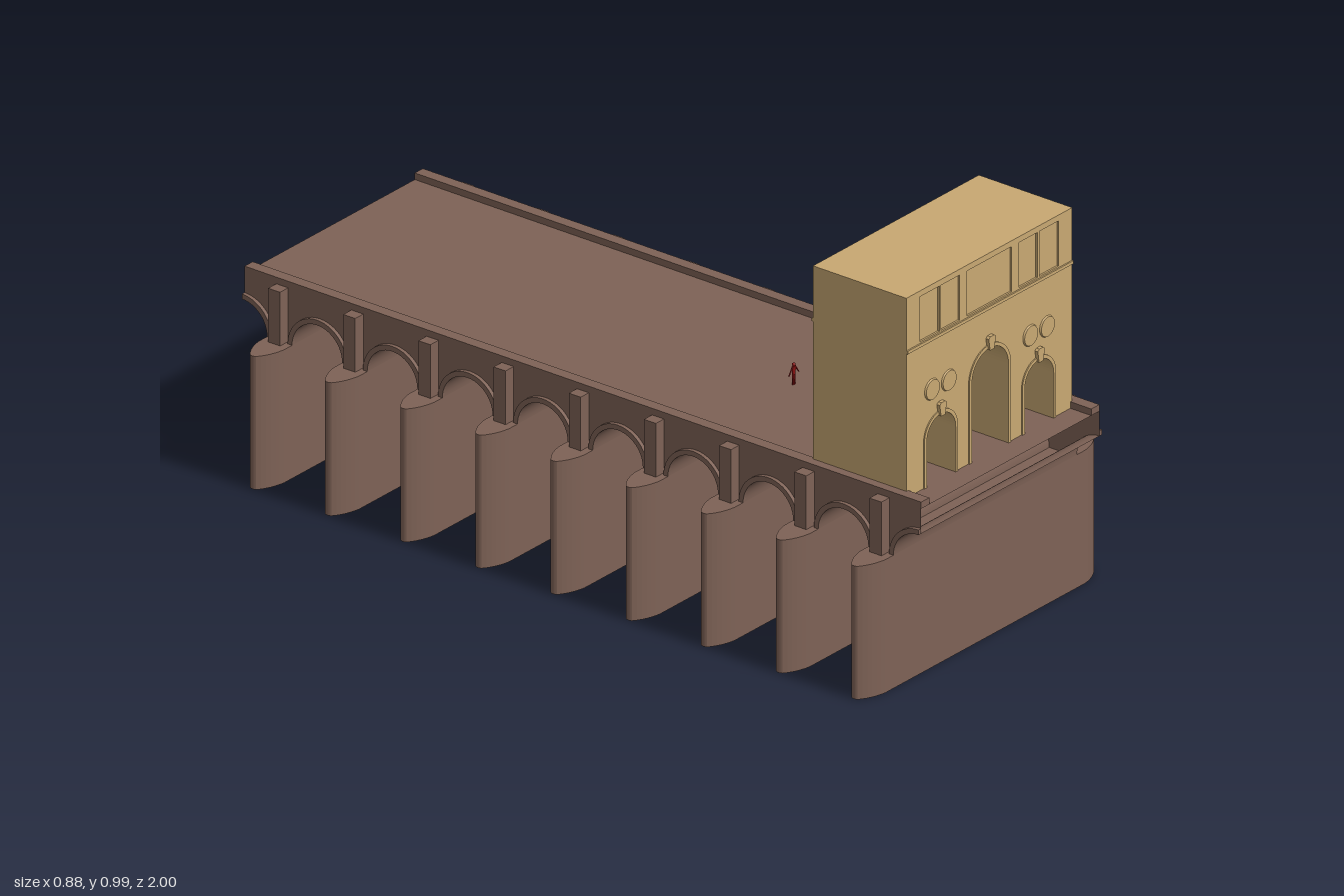
import * as THREE from 'three';

const stone = new THREE.MeshStandardMaterial({ color: 0x7e6256 });
const shell = new THREE.MeshStandardMaterial({ color: 0x7e6256, side: THREE.DoubleSide });
const sand = new THREE.MeshStandardMaterial({ color: 0xc8a872 });
const red = new THREE.MeshStandardMaterial({ color: 0x8a1212 });

function add(parent, name, geometry, material, x = 0, y = 0, z = 0) {
  const mesh = new THREE.Mesh(geometry, material);
  mesh.name = name;
  mesh.position.set(x, y, z);
  parent.add(mesh);
  return mesh;
}

const box = (w, h, d) => new THREE.BoxGeometry(w, h, d);
const extrude = (shape, depth, curveSegments = 12) =>
  new THREE.ExtrudeGeometry(shape, { depth, bevelEnabled: false, curveSegments });

// Bridge dimensions: nine piers, with half arches at both ends
const PITCH = 2 / 9, PIER = 0.037, SPRING = 0.342, DECK = 0.48, WALL = 0.33;
const R = PITCH / 2 - PIER;

// Band between two radii over an angle range
function bandShape(r, outer, a0, a1) {
  const s = new THREE.Shape();
  s.absarc(0, 0, outer, a0, a1, false);
  s.absarc(0, 0, r, a1, a0, true);
  s.closePath();
  return s;
}

// Pier plan with pointed, curved cutwaters
function pierGeometry() {
  const s = new THREE.Shape();
  s.moveTo(-0.37, -PIER);
  s.lineTo(0.37, -PIER);
  s.quadraticCurveTo(0.41, -0.032, 0.438, -0.009);
  s.quadraticCurveTo(0.443, 0, 0.438, 0.009);
  s.quadraticCurveTo(0.41, 0.032, 0.37, PIER);
  s.lineTo(-0.37, PIER);
  s.quadraticCurveTo(-0.41, 0.032, -0.438, 0.009);
  s.quadraticCurveTo(-0.443, 0, -0.438, -0.009);
  s.quadraticCurveTo(-0.41, -0.032, -0.37, -PIER);
  return extrude(s, SPRING, 6).rotateX(-Math.PI / 2);
}

// Side wall outline, cut by the row of arches
function spandrelShape() {
  const s = new THREE.Shape();
  s.moveTo(-1, DECK);
  s.lineTo(-1, SPRING + R);
  s.absarc(-1, SPRING, R, Math.PI / 2, 0, true);
  for (let i = 1; i < 9; i++) {
    s.lineTo(-1 + i * PITCH - R, SPRING);
    s.absarc(-1 + i * PITCH, SPRING, R, Math.PI, 0, true);
  }
  s.lineTo(1 - R, SPRING);
  s.absarc(1, SPRING, R, Math.PI, Math.PI / 2, true);
  s.lineTo(1, DECK);
  return s;
}

function buildBridge() {
  const bridge = new THREE.Group();
  bridge.name = 'bridge';
  add(bridge, 'deck', new THREE.PlaneGeometry(2 * WALL, 2).rotateX(-Math.PI / 2), shell, 0, DECK, 0);

  const pier = pierGeometry();
  const wall = new THREE.ShapeGeometry(spandrelShape(), 12).rotateY(-Math.PI / 2);
  for (const side of [-1, 1]) {
    add(bridge, 'spandrelWall', wall, shell, side * WALL);
    add(bridge, 'parapet', box(0.03, 0.017, 2), stone, side * 0.315, DECK + 0.0085, 0);
  }
  for (let i = 0; i < 9; i++) {
    const z = -1 + (i + 0.5) * PITCH;
    add(bridge, 'pier', pier, stone, 0, 0, z);
    for (const side of [-1, 1])
      add(bridge, 'pilaster', box(0.03, DECK - SPRING, 0.035), stone, side * 0.345, (DECK + SPRING) / 2, z);
  }
  for (let i = 0; i <= 9; i++) {
    const z = -1 + i * PITCH;
    const a0 = i === 9 ? Math.PI / 2 : 0;
    const a1 = i === 0 ? Math.PI / 2 : Math.PI;
    // Barrel vault, left open above
    const vault = new THREE.CylinderGeometry(R, R, 0.68, 12 * (a1 - a0) / Math.PI * 2, 1, true, a0, a1 - a0);
    vault.rotateX(-Math.PI / 2).rotateZ(Math.PI / 2).rotateY(Math.PI / 2);
    // Replace the swept angle by an explicit arch section along x
    const p = vault.attributes.position, n = p.count / 2;
    for (let k = 0; k < p.count; k++) {
      const a = a0 + (a1 - a0) * (k % n) / (n - 1);
      p.setXYZ(k, k < n ? -0.34 : 0.34, R * Math.sin(a), R * Math.cos(a));
    }
    vault.computeVertexNormals();
    add(bridge, 'vault', vault, shell, 0, SPRING, z);
    // Raised arch ring on each side
    const ring = extrude(bandShape(R, R + 0.013, a0, a1), 0.01).rotateY(-Math.PI / 2);
    for (const x of [-WALL, WALL + 0.01]) add(bridge, 'archRing', ring, stone, x, SPRING, z);
  }
  return bridge;
}

// Gate openings: centre x, half width, spring height
const OPENINGS = [[-0.1815, 0.0535, 0.597], [0, 0.068, 0.683], [0.1815, 0.0535, 0.597]];
const PANELS = [[-0.257, -0.185], [-0.178, -0.11], [-0.083, 0.083], [0.11, 0.178], [0.185, 0.257]];
const GATE_W = 0.307, GATE_TOP = 0.993, GATE_Z = 0.8, GATE_HALF = 0.138, RECESS = 0.005;

function gateShape(withPanels) {
  const s = new THREE.Shape();
  s.moveTo(-GATE_W, DECK);
  for (const [x, r, y] of OPENINGS) {
    s.lineTo(x - r, DECK);
    s.lineTo(x - r, y);
    s.absarc(x, y, r, Math.PI, 0, true);
    s.lineTo(x + r, DECK);
  }
  s.lineTo(GATE_W, DECK);
  s.lineTo(GATE_W, GATE_TOP);
  s.lineTo(-GATE_W, GATE_TOP);
  if (withPanels) for (const [a, b] of PANELS) {
    const h = new THREE.Path();
    h.moveTo(a, 0.862);
    h.lineTo(a, 0.978);
    h.lineTo(b, 0.978);
    h.lineTo(b, 0.862);
    s.holes.push(h);
  }
  return s;
}

// Frame running up both jambs and round the arch
function frameShape(r, y, t) {
  const s = new THREE.Shape();
  s.moveTo(r, DECK);
  s.lineTo(r + t, DECK);
  s.absarc(0, y, r + t, 0, Math.PI, false);
  s.lineTo(-r - t, DECK);
  s.lineTo(-r, DECK);
  s.absarc(0, y, r, Math.PI, 0, true);
  return s;
}

function buildFace() {
  const face = new THREE.Group();
  face.name = 'gateFace';
  add(face, 'panelledFacing', extrude(gateShape(true), RECESS), sand, 0, 0, -RECESS);
  add(face, 'cornice', box(2 * GATE_W, 0.008, 0.008), sand, 0, 0.854, 0);
  const key = new THREE.Shape([[-0.008, -0.006], [0.008, -0.006], [0.013, 0.024], [0.007, 0.029],
    [-0.007, 0.029], [-0.013, 0.024]].map(([x, y]) => new THREE.Vector2(x, y)));
  for (const [x, r, y] of OPENINGS) {
    add(face, 'archFrame', extrude(frameShape(r, y, 0.009), 0.003), sand, x, 0, 0);
    add(face, 'keystone', extrude(key, 0.009), sand, x, y + r + 0.003, 0);
  }
  const disc = new THREE.CylinderGeometry(0.025, 0.027, 0.004, 28).rotateX(Math.PI / 2);
  for (const x of [-0.213, -0.151, 0.151, 0.213]) add(face, 'medallion', disc, sand, x, 0.724, 0.002);
  return face;
}

function buildGate() {
  const gate = new THREE.Group();
  gate.name = 'triumphalGate';
  const depth = 2 * (GATE_HALF - RECESS);
  add(gate, 'gateBody', extrude(gateShape(false), depth), sand, 0, 0, -depth / 2);
  const front = buildFace(), back = buildFace();
  front.position.z = GATE_HALF;
  back.position.z = -GATE_HALF;
  back.rotation.y = Math.PI;
  gate.add(front, back);
  // Columns on brackets, standing against the inner face
  const profile = [[0, 0.565], [0.013, 0.565], [0.013, 0.577], [0.009, 0.585], [0.008, 0.68], [0.007, 0.755],
    [0.010, 0.765], [0.014, 0.775], [0.014, 0.785], [0, 0.785]].map(([x, y]) => new THREE.Vector2(x, y));
  const column = new THREE.LatheGeometry(profile, 14).toNonIndexed();
  column.computeVertexNormals();
  for (const x of [-0.272, -0.099, 0.099, 0.272]) {
    add(gate, 'column', column, sand, x, 0, -GATE_HALF - 0.011);
    add(gate, 'columnBracket', box(0.022, 0.012, 0.018), sand, x, 0.571, -GATE_HALF - 0.008);
    add(gate, 'columnCap', box(0.022, 0.01, 0.018), sand, x, 0.78, -GATE_HALF - 0.008);
  }
  gate.position.z = GATE_Z;
  return gate;
}

// Small standing figure for scale
function buildFigure() {
  const figure = new THREE.Group();
  figure.name = 'figure';
  add(figure, 'head', new THREE.SphereGeometry(0.0045, 10, 8), red, 0, 0.0515, 0);
  add(figure, 'torso', new THREE.CylinderGeometry(0.007, 0.005, 0.021, 8).scale(1, 1, 0.55), red, 0, 0.0365, 0);
  for (const side of [-1, 1]) {
    add(figure, 'leg', new THREE.CylinderGeometry(0.0027, 0.0018, 0.028, 8), red, side * 0.003, 0.014, 0);
    const arm = add(figure, 'arm', new THREE.CylinderGeometry(0.002, 0.0014, 0.024, 8), red, side * 0.0115, 0.0365, 0);
    arm.rotation.z = side * 0.62;
  }
  figure.position.set(0, DECK, 0.36);
  return figure;
}

export function createModel() {
  const model = new THREE.Group();
  model.name = 'bridgeWithGate';
  model.add(buildBridge(), buildGate(), buildFigure());
  return model;
}
